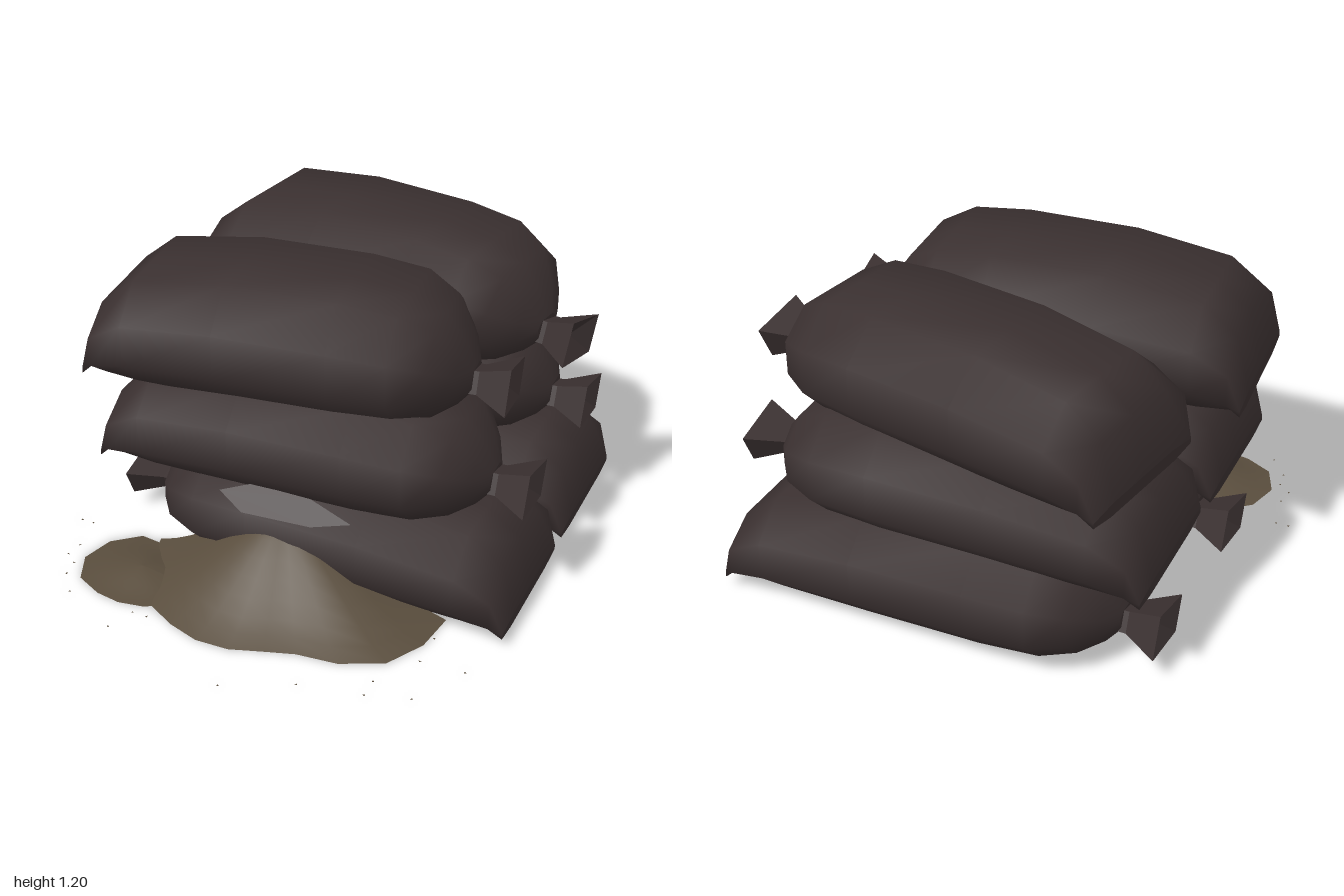
import * as THREE from 'three';

const sackMat = new THREE.MeshStandardMaterial({ color: 0x3a3030, side: THREE.DoubleSide });
sackMat.name = 'dark sackcloth';
const grainMat = new THREE.MeshStandardMaterial({ color: 0x594d3d, side: THREE.DoubleSide });
grainMat.name = 'spilled grain';

// Skin rings of points laid along +x; each ring is a list of [x, y, z]
function loft(rings, flat) {
  const n = rings[0].length, pos = rings.flat(2), idx = [];
  for (let i = 0; i < rings.length - 1; i++) {
    for (let j = 0; j < n; j++) {
      const a = i * n + j, b = i * n + (j + 1) % n;
      idx.push(a, b, a + n, b, b + n, a + n);
    }
  }
  // caps get their own vertices so their edges stay sharp
  [rings[0], rings[rings.length - 1]].forEach((ring, end) => {
    const s = pos.length / 3;
    pos.push(...ring.flat());
    for (let j = 1; j < n - 1; j++) {
      if (end) idx.push(s, s + j, s + j + 1);
      else idx.push(s, s + j + 1, s + j);
    }
  });
  let g = new THREE.BufferGeometry();
  g.setAttribute('position', new THREE.Float32BufferAttribute(pos, 3));
  g.setIndex(idx);
  if (flat) g = g.toNonIndexed();
  g.computeVertexNormals();
  return g;
}

// Bag body: stations of x, bottom, top, half width, from the sewn end to the neck
const section = [[1, 0], [1, 0.59], [0.4, 1], [-0.4, 1], [-1, 0.66], [-1, 0], [-1, -0.66], [-0.4, -1], [0.4, -1], [1, -0.59]];
const stations = [
  [-0.82, 0.025, 0.07, 0.303], [-0.77, 0.01, 0.265, 0.328], [-0.63, 0, 0.362, 0.336],
  [-0.25, 0, 0.405, 0.345], [0.2, 0, 0.405, 0.345], [0.43, 0.01, 0.385, 0.333],
  [0.56, 0.035, 0.33, 0.27], [0.64, 0.06, 0.235, 0.16], [0.68, 0.085, 0.155, 0.07],
];
const bodyGeo = loft(stations.map(([x, lo, hi, w]) =>
  section.map(([y, z]) => [x, (lo + hi) / 2 + y * (hi - lo) / 2, z * w])));

// Gathered cloth beyond the tie: a skewed four-sided flare with a hollow end
const flare = [[0.085, 0.07], [-0.055, 0.14], [-0.085, -0.08], [0.035, -0.14]];
const neckGeo = loft([[0.65, 0.5], [0.7, 0.5], [0.83, 1], [0.78, 0.08]].map(([x, s]) =>
  flare.map(([y, z]) => [x, 0.112 + y * s, z * s])), true);

function sack(name, x, y, z, yaw, pitch, sx, sy) {
  const g = new THREE.Group();
  g.name = name;
  const body = new THREE.Mesh(bodyGeo, sackMat);
  body.name = 'sackBody';
  const neck = new THREE.Mesh(neckGeo, sackMat);
  neck.name = 'sackNeck';
  g.add(body, neck);
  g.position.set(x, y, z);
  g.rotation.set(0, yaw, pitch);
  g.scale.set(sx, sy, 1);
  return g;
}

// Heap of grain: rim radii over a fan of angles, with a softly pointed slope
function heap(name, cx, cz, height, rim, sweep) {
  const rows = 8, n = rim.length, pos = [], idx = [];
  for (let j = 0; j < n; j++) {
    const a = sweep * j / (n - 1);
    for (let i = 0; i <= rows; i++) {
      const t = i / rows, fall = (1 + Math.cos(Math.PI * t)) / 4 + (1 - t) / 2;
      pos.push(cx + Math.cos(a) * rim[j] * t, height * fall, cz + Math.sin(a) * rim[j] * t);
      if (i < rows && j < n - 1) {
        const p = j * (rows + 1) + i, q = p + rows + 1;
        idx.push(p + 1, q, q + 1);
        if (i > 0) idx.push(p, q, p + 1);
        else idx.push(p, q + 1, p + 1);
      }
    }
  }
  const g = new THREE.BufferGeometry();
  g.setAttribute('position', new THREE.Float32BufferAttribute(pos, 3));
  g.setIndex(idx);
  g.computeVertexNormals();
  const m = new THREE.Mesh(g, grainMat);
  m.name = name;
  return m;
}

export function createModel() {
  const model = new THREE.Group();
  model.name = 'sackStack';

  // Three layers of two; the lowest pair points the other way
  model.add(
    sack('bottomFrontSack', 0.075, 0.02, 0.073, Math.PI, 0.025, 1.005, 1.03),
    sack('bottomBackSack', 0.075, 0.02, -0.615, Math.PI, 0.025, 1.005, 1.03),
    sack('middleFrontSack', 0.072, 0.385, 0.09, 0.02, 0.02, 0.99, 1.05),
    sack('middleBackSack', 0.072, 0.385, -0.585, 0.02, 0.02, 0.99, 1.05),
    sack('topFrontSack', -0.02, 0.745, 0.065, 0.09, 0.01, 0.95, 1.11),
    sack('topBackSack', 0.097, 0.745, -0.555, -0.17, 0.01, 0.955, 1.11),
  );

  // Torn slit lying on the upper front slope of the lowest sack
  const tearShape = new THREE.Shape([[-0.24, 0.37], [-0.13, 0.325], [0.15, 0.335], [0.3, 0.37], [0.12, 0.41], [-0.12, 0.41]]
    .map(([x, y]) => new THREE.Vector2(x, y)));
  const tearGeo = new THREE.ShapeGeometry(tearShape);
  const p = tearGeo.attributes.position;
  for (let i = 0; i < p.count; i++) p.setZ(i, 0.443 - (p.getY(i) - 0.3) * 0.9);
  tearGeo.computeVertexNormals();
  const tear = new THREE.Mesh(tearGeo, sackMat);
  tear.name = 'tear';
  model.add(tear);

  // Spilled grain
  model.add(
    heap('mainSpill', 0, 0.31, 0.302,
      [0.66, 0.66, 0.64, 0.56, 0.475, 0.465, 0.49, 0.51, 0.52, 0.54, 0.54, 0.54, 0.55], Math.PI),
    heap('smallSpill', -0.5, 0.54, 0.042,
      [0.24, 0.23, 0.2, 0.19, 0.2, 0.24, 0.26, 0.26, 0.25, 0.2, 0.18, 0.22, 0.24], Math.PI * 2),
  );

  // Scattered grains lying flat on the floor
  const grains = [[-0.9, 0.33], [-0.85, 0.33], [-0.82, 0.48], [-0.83, 0.55], [-0.77, 0.66], [-0.78, 0.59],
    [-0.7, 0.75], [-0.46, 0.87], [-0.42, 0.76], [-0.36, 0.76], [0.06, 0.99], [0.31, 0.87], [0.55, 0.82],
    [0.55, 0.74], [0.71, 0.77], [0.66, 0.57], [0.83, 0.56], [0.66, 0.43]];
  const grainGeo = new THREE.CircleGeometry(0.006, 3).rotateX(-Math.PI / 2);
  grains.forEach(([x, z], i) => {
    const m = new THREE.Mesh(grainGeo, grainMat);
    m.name = 'looseGrain';
    m.position.set(x, 0.001, z);
    m.rotation.y = i * 1.3;
    model.add(m);
  });
  return model;
}
